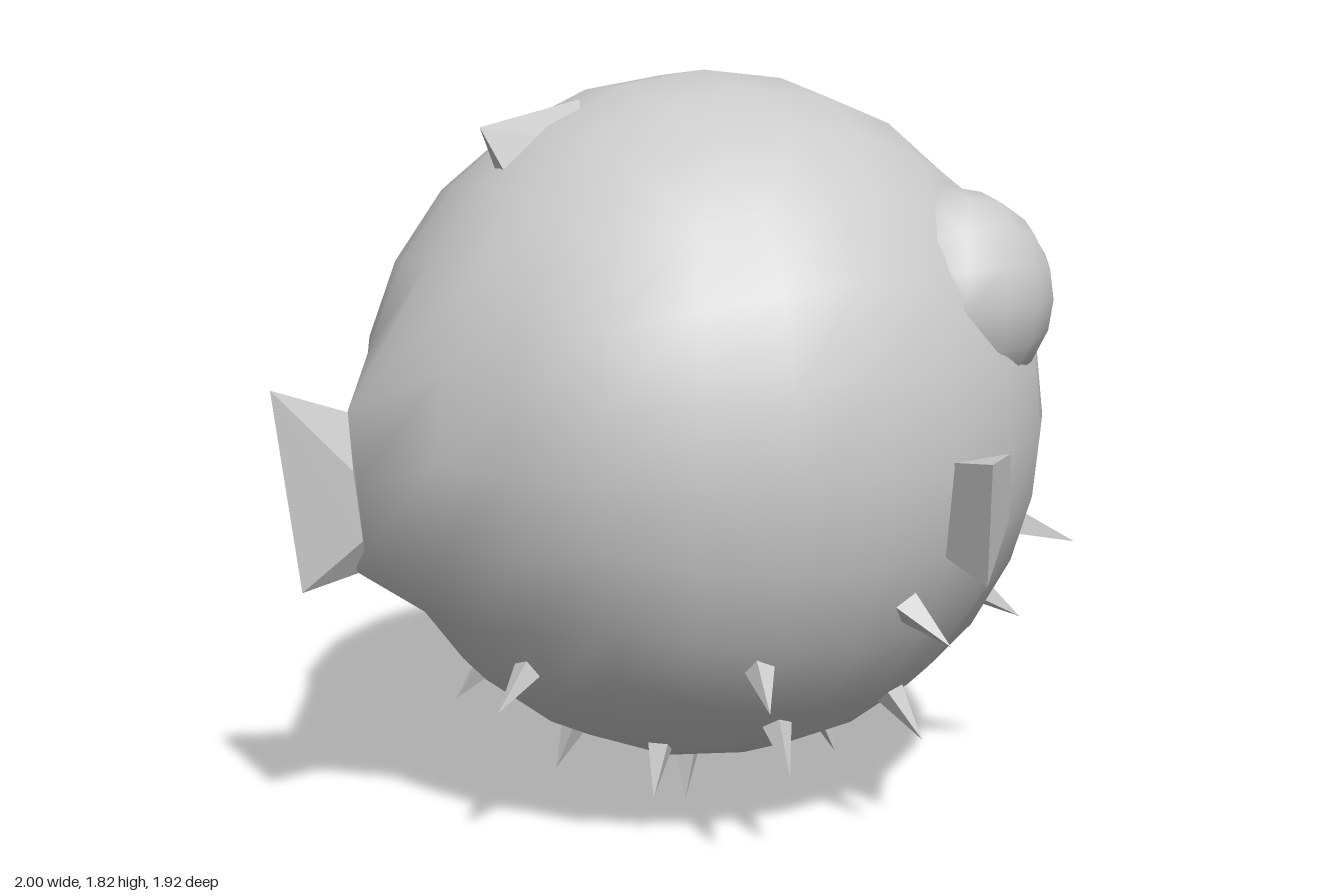
import * as THREE from 'three';
import { mergeVertices } from 'three/addons/utils/BufferGeometryUtils.js';
import { ConvexGeometry } from 'three/addons/geometries/ConvexGeometry.js';

const smooth = new THREE.MeshStandardMaterial({ color: 0xcccccc });
const flat = new THREE.MeshStandardMaterial({ color: 0xcccccc, flatShading: true });
const CENTER = new THREE.Vector3(0.14, 0.983, 0);
const v = (x, y, z) => new THREE.Vector3(x, y, z);

// Sphere made from a subdivided cube; adjust(cubePoint, spherePoint) may move vertices
function cubeSphere(radius, segments, adjust) {
  let geo = new THREE.BoxGeometry(2, 2, 2, segments, segments, segments);
  geo.deleteAttribute('uv');
  geo.deleteAttribute('normal');
  geo = mergeVertices(geo);
  const pos = geo.attributes.position;
  const warp = (c) => Math.tan((c * Math.PI) / 4);
  for (let i = 0; i < pos.count; i++) {
    const c = new THREE.Vector3().fromBufferAttribute(pos, i);
    const p = v(warp(c.x), warp(c.y), warp(c.z)).setLength(radius);
    if (adjust) adjust(c, p);
    pos.setXYZ(i, p.x, p.y, p.z);
  }
  geo.computeVertexNormals();
  return geo;
}

export function createModel() {
  const model = new THREE.Group();
  const add = (name, geo, mat) => {
    const mesh = new THREE.Mesh(geo, mat);
    mesh.name = name;
    model.add(mesh);
    return mesh;
  };

  // Round body, with the middle of the rear drawn out into a narrow tail root
  const bodyGeo = cubeSphere(0.855, 6, (c, p) => {
    p.z *= 0.98;
    if (c.x < -0.99 && Math.abs(c.z) < 0.01 && Math.abs(c.y) < 0.4) {
      p.x = -0.81 - CENTER.x;
      p.y = -0.09 + c.y * 0.57;
    }
  });
  add('body', bodyGeo, smooth).position.copy(CENTER);

  // Eyes and side fins, mirrored in z
  for (const s of [1, -1]) {
    const side = s > 0 ? 'right' : 'left';
    add(side + 'Eye', cubeSphere(0.262, 4), smooth).position.set(0.545, 1.317, 0.462 * s);

    const low = s > 0 ? 0.735 : 0.7;
    add(side + 'Fin', new ConvexGeometry([
      v(0.34, 1.02, 0.958 * s), v(0.34, low, 0.95 * s),
      v(0.55, 0.98, 0.74 * s), v(0.55, 0.82, 0.74 * s),
      v(0.34, 0.98, 0.72 * s), v(0.34, 0.78, 0.72 * s),
    ]), flat);
  }

  // Tail fin: sharp outer edge, thicker at the root
  add('tailFin', new ConvexGeometry([
    v(-1, 1.15, 0), v(-0.935, 0.66, 0), v(-0.81, 1.08, 0), v(-0.77, 0.695, 0),
    v(-0.82, 0.95, 0.05), v(-0.82, 0.95, -0.05),
    v(-0.8, 0.78, 0.05), v(-0.8, 0.78, -0.05),
  ]), flat);

  // Back fin
  add('dorsalFin', new ConvexGeometry([
    v(-0.457, 1.725, -0.01), v(-0.2, 1.78, 0), v(-0.18, 1.76, 0),
    v(-0.4, 1.6, 0.03), v(-0.4, 1.6, -0.03),
    v(-0.2, 1.68, 0.03), v(-0.2, 1.68, -0.03),
  ]), flat);

  // Spikes on the belly, listed by tip and pointing away from the body centre
  const tips = [
    [-0.575, 0.395, 0.3], [-0.4, 0.23, -0.32], [-0.225, 0.08, -0.1],
    [-0.17, 0.12, 0.315], [-0.12, 0.455, 0.77], [0.04, 0.015, 0.1],
    [0.04, 0.225, 0.6], [0.26, 0.075, -0.35], [0.485, 0.07, 0.1],
    [0.43, 0.25, 0.575], [0.29, 0.585, 0.885], [0.9, 0.68, 0.54],
    [0.9, 0.68, -0.545], [0.925, 0.42, 0.29], [0.925, 0.41, -0.11],
    [0.67, 0.33, -0.5], [0.04, 0.385, -0.765], [-0.36, 0.43, -0.64],
  ];
  const spikeGeo = new THREE.ConeGeometry(0.045, 0.17, 4).translate(0, -0.085, 0);
  for (const t of tips) {
    const spike = add('spike', spikeGeo, flat);
    spike.position.set(...t);
    spike.quaternion.setFromUnitVectors(v(0, 1, 0), spike.position.clone().sub(CENTER).normalize());
  }
  return model;
}
